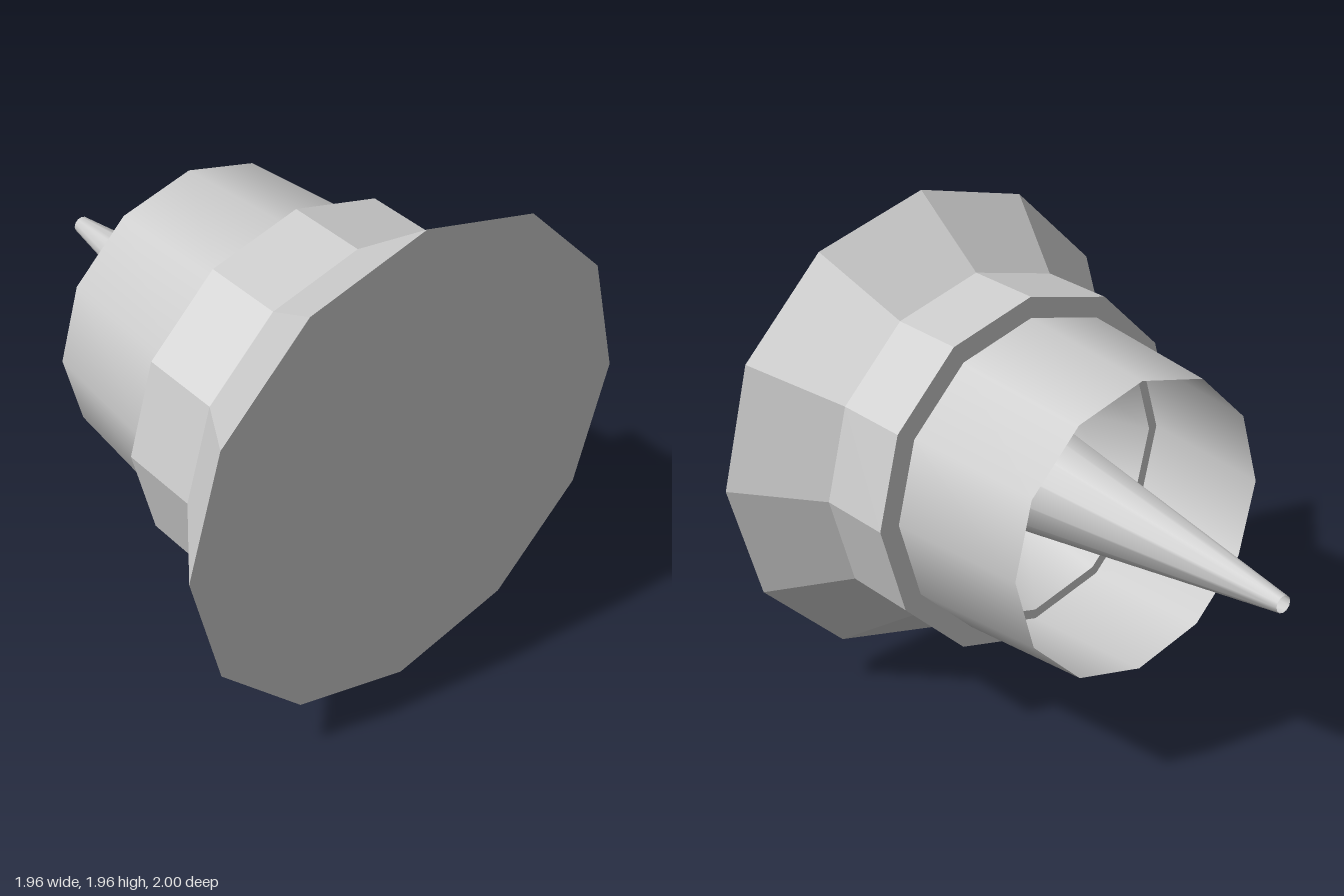
import * as THREE from 'three';

const SIDES = 12;

// Revolves [radius, z] points around the z axis through the centre of the model.
function revolve(name, points, flat) {
  const profile = points.map(([r, z]) => new THREE.Vector2(r, z));
  let geometry = new THREE.LatheGeometry(profile, SIDES);
  geometry.rotateX(Math.PI / 2);
  if (flat) {
    geometry = geometry.toNonIndexed();
    geometry.computeVertexNormals();
  }
  const material = new THREE.MeshStandardMaterial({
    color: 0xcccccc, flatShading: flat, side: THREE.DoubleSide,
  });
  const mesh = new THREE.Mesh(geometry, material);
  mesh.name = name;
  return mesh;
}

export function createModel() {
  const model = new THREE.Group();
  model.name = 'nozzle';

  const body = new THREE.Group();
  body.name = 'body';
  body.position.y = 0.985;
  model.add(body);

  // Closed front plate, flared mount and straight collar with its rear lip
  body.add(revolve('flaredMount', [
    [0, 1], [0.98, 1], [0.735, 0.67], [0.735, 0.345], [0.61, 0.345],
  ], true));

  // Thin open bell behind the collar
  body.add(revolve('bell', [[0.65, 0.345], [0.6, -0.27]], false));

  // Tapered throat inside the collar and its floor
  body.add(revolve('throat', [[0.61, 0.345], [0.48, 0.67]], false));
  body.add(revolve('throatFloor', [[0.48, 0.67], [0, 0.67]], true));

  // Long central spike, open at the tip
  body.add(revolve('spike', [[0.27, 0.67], [0.034, -1]], false));

  return model;
}
